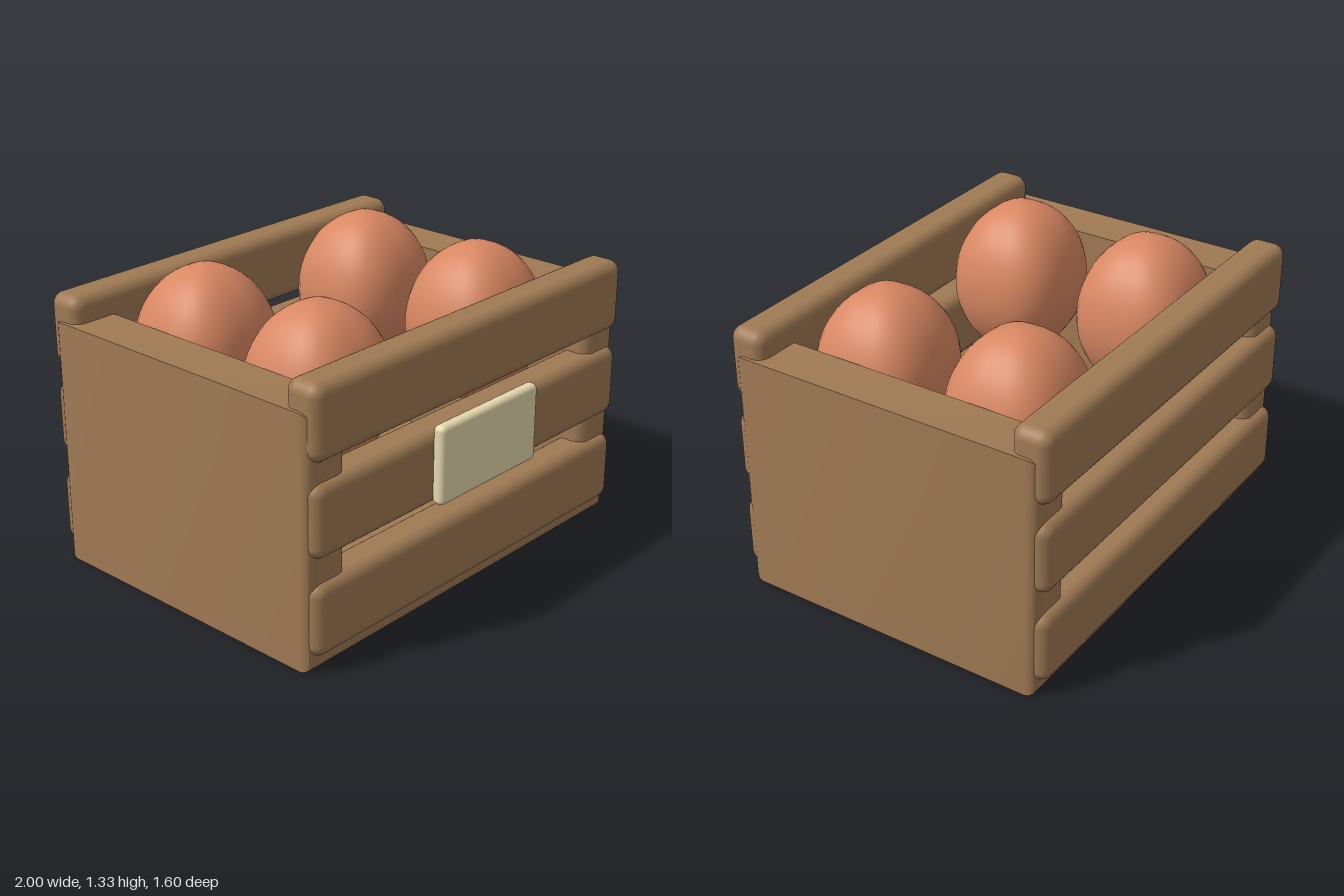
import * as THREE from 'three';
import { toCreasedNormals } from 'three/addons/utils/BufferGeometryUtils.js';
import { RoundedBoxGeometry } from 'three/addons/geometries/RoundedBoxGeometry.js';

const wood = new THREE.MeshStandardMaterial({ color: 0xa07a54 });
const cream = new THREE.MeshStandardMaterial({ color: 0xe6d8ae });
const peach = new THREE.MeshStandardMaterial({ color: 0xd88762 });

function add(parent, name, geometry, material, x, y, z) {
  const mesh = new THREE.Mesh(geometry, material);
  mesh.name = name;
  mesh.position.set(x, y, z);
  parent.add(mesh);
  return mesh;
}

// U-shaped body: two thick end panels joined by the floor, all edges softened
function bodyGeometry() {
  const b = 0.05, out = 1 - b, inner = 0.78 + b, top = 1.115 - b, floor = 0.2 - b;
  const shape = new THREE.Shape([
    [-out, b], [out, b], [out, top], [inner, top],
    [inner, floor], [-inner, floor], [-inner, top], [-out, top],
  ].map(([x, y]) => new THREE.Vector2(x, y)));
  const geometry = new THREE.ExtrudeGeometry(shape, {
    depth: 1.47 - 2 * b, bevelEnabled: true, bevelSize: b, bevelThickness: b, bevelSegments: 4,
  });
  geometry.translate(0, 0, -0.76 + b);
  return toCreasedNormals(geometry, 0.9);
}

// Ball that is slightly square when seen from above
function fruitGeometry() {
  const geometry = new THREE.SphereGeometry(1, 40, 28);
  const p = geometry.attributes.position;
  const n = 2.7;
  for (let i = 0; i < p.count; i++) {
    const x = p.getX(i), y = p.getY(i), z = p.getZ(i);
    const r = Math.hypot(x, z);
    const q = Math.pow(Math.abs(x) ** n + Math.abs(z) ** n, 1 / n);
    const k = q > 1e-6 ? r / q : 1;
    p.setXYZ(i, x * k * 0.288, y * 0.365, z * k * 0.275);
  }
  geometry.computeVertexNormals();
  // Average the normals on both sides of the seam
  const normal = geometry.attributes.normal;
  for (let row = 0; row <= 28; row++) {
    const a = row * 41, b = a + 40;
    const v = new THREE.Vector3().fromBufferAttribute(normal, a)
      .add(new THREE.Vector3().fromBufferAttribute(normal, b)).normalize();
    normal.setXYZ(a, v.x, v.y, v.z);
    normal.setXYZ(b, v.x, v.y, v.z);
  }
  return geometry;
}

export function createModel() {
  const crate = new THREE.Group();
  crate.name = 'fruitCrate';

  add(crate, 'endPanelsAndFloor', bodyGeometry(), wood, 0, 0, 0);

  // Three slats on the front and on the back
  const slat = new RoundedBoxGeometry(1.97, 0.325, 0.175, 4, 0.055);
  for (const [side, z] of [['front', 0.657], ['back', -0.713]]) {
    [0.23, 0.66, 1.067].forEach((y, i) => add(crate, `${side}Slat${i + 1}`, slat, wood, 0, y, z));
  }

  // Blank plate on the middle front slat
  add(crate, 'labelPlate', new RoundedBoxGeometry(0.63, 0.352, 0.06, 4, 0.025), cream, 0, 0.687, 0.77);

  // Four fruits
  const fruit = fruitGeometry();
  for (const x of [-0.503, 0.503]) {
    for (const z of [-0.355, 0.298]) add(crate, 'fruit', fruit, peach, x, 0.965, z);
  }
  return crate;
}
